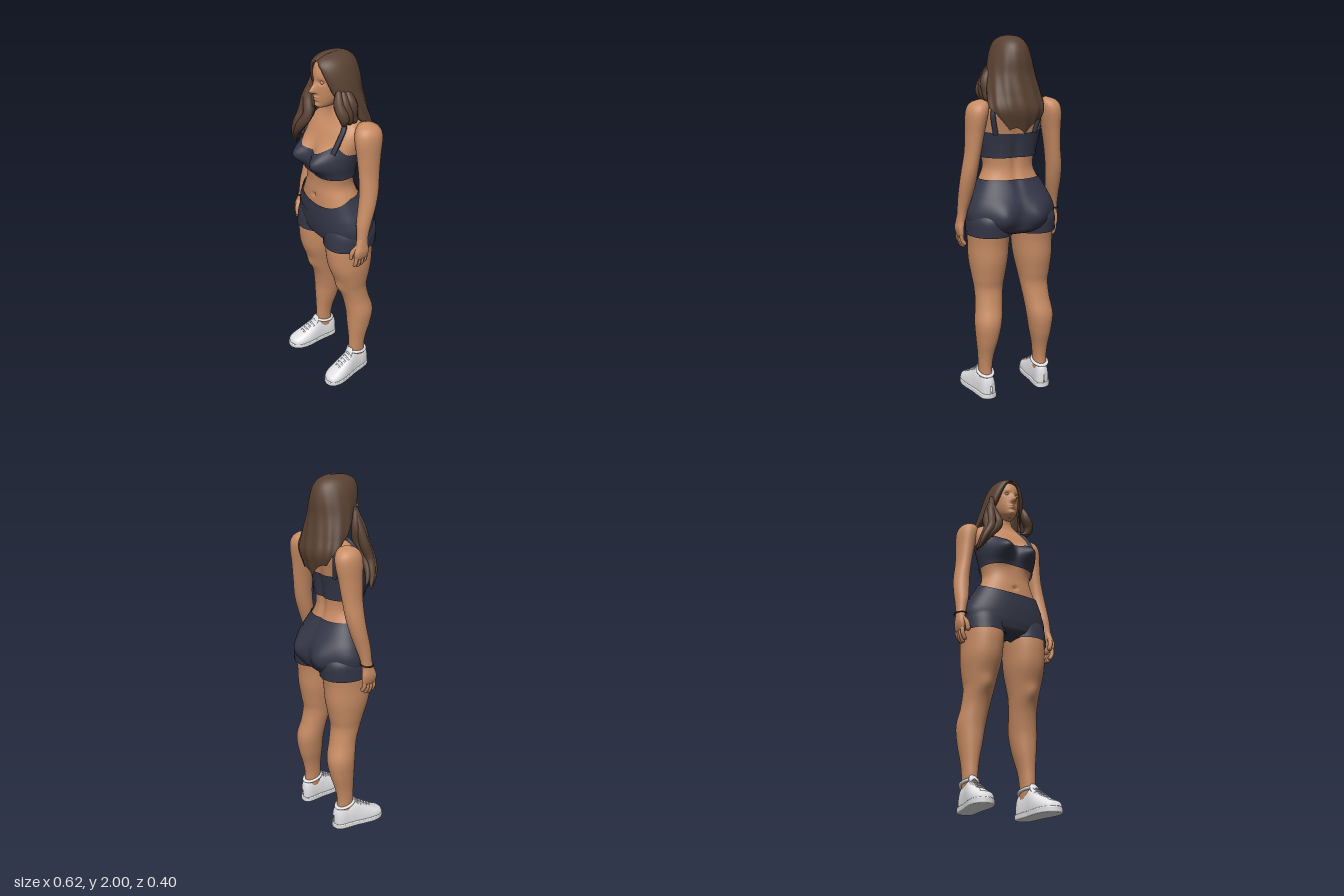
import * as THREE from 'three';
import { mergeVertices } from 'three/addons/utils/BufferGeometryUtils.js';

const mat = (name, color, side = THREE.FrontSide) => {
  const m = new THREE.MeshStandardMaterial({ color, side });
  m.name = name;
  return m;
};
const V = (x, y, z) => new THREE.Vector3(x, y, z);
const G = (d) => Math.exp(-d * d);
const pw = (v, e) => Math.sign(v) * Math.abs(v) ** e;

// Smooth interpolation of rows keyed by their first (ascending) value
function sampler(rows) {
  const slope = (i, k) => {
    const a = rows[Math.max(i - 1, 0)], b = rows[Math.min(i + 1, rows.length - 1)];
    return (b[k] - a[k]) / (b[0] - a[0]);
  };
  return (y) => {
    let i = 0;
    while (i < rows.length - 2 && y > rows[i + 1][0]) i++;
    const a = rows[i], b = rows[i + 1], h = b[0] - a[0];
    const t = Math.min(1, Math.max(0, (y - a[0]) / h)), t2 = t * t, t3 = t2 * t;
    return a.map((_, k) => (2 * t3 - 3 * t2 + 1) * a[k] + (t3 - 2 * t2 + t) * h * slope(i, k)
      + (3 * t2 - 2 * t3) * b[k] + (t3 - t2) * h * slope(i + 1, k));
  };
}
// Point on a horizontal section [y, cx, rx, zFront, zBack]; angle 0 faces the front
function ring([, cx, rx, zF, zB], y, a, off = 0, e = 1) {
  return V(cx + (rx + off) * pw(Math.sin(a), e), y,
    (zF + zB) / 2 + ((zF - zB) / 2 + off) * pw(Math.cos(a), e));
}
// Surface from f(u, v), welded for smooth normals
function patch(f, nu, nv) {
  const pos = [], idx = [], w = nu + 1;
  for (let j = 0; j <= nv; j++) for (let i = 0; i <= nu; i++) pos.push(...f(i / nu, j / nv).toArray());
  for (let j = 0; j < nv; j++) for (let i = 0; i < nu; i++) {
    const a = j * w + i;
    idx.push(a, a + 1, a + w + 1, a, a + w + 1, a + w);
  }
  let g = new THREE.BufferGeometry();
  g.setAttribute('position', new THREE.Float32BufferAttribute(pos, 3));
  g.setIndex(idx);
  g = mergeVertices(g, 1e-5);
  g.computeVertexNormals();
  return g;
}
// Closed band of a body surface S(angle, y, offset) between two height curves
const band = (S, lo, hi, off, nu, nv) => patch((u, v) => {
  const a = u * Math.PI * 2;
  return S(a, lo(a) + (hi(a) - lo(a)) * v, off);
}, nu, nv);
// Tube whose radius follows r(t)
function taper(points, r, n = 36, sides = 12) {
  const c = new THREE.CatmullRomCurve3(points), g = new THREE.TubeGeometry(c, n, 1, sides);
  const p = g.attributes.position, q = V(0, 0, 0);
  for (let i = 0; i < p.count; i++) {
    const t = Math.floor(i / (sides + 1)) / n, o = c.getPointAt(t);
    q.fromBufferAttribute(p, i).sub(o).multiplyScalar(r(t)).add(o);
    p.setXYZ(i, q.x, q.y, q.z);
  }
  g.computeVertexNormals();
  return g;
}

const torsoRow = sampler([
  [0.935, 0, 0.03, 0.03, -0.07], [0.96, 0, 0.16, 0.1, -0.14], [1.0, 0, 0.23, 0.12, -0.16],
  [1.06, 0, 0.25, 0.128, -0.165], [1.12, 0, 0.233, 0.13, -0.158], [1.18, 0, 0.2, 0.128, -0.13],
  [1.24, 0, 0.168, 0.125, -0.1], [1.3, 0, 0.143, 0.12, -0.085], [1.37, 0, 0.15, 0.12, -0.085],
  [1.45, 0, 0.169, 0.122, -0.092], [1.52, 0, 0.182, 0.11, -0.102], [1.6, 0, 0.188, 0.075, -0.115],
  [1.65, 0, 0.165, 0.04, -0.112], [1.68, 0, 0.11, 0.028, -0.095], [1.71, 0, 0.062, 0.025, -0.078],
  [1.8, 0, 0.052, 0.04, -0.06]]);
function torso(a, y, off) {
  const p = ring(torsoRow(y), y, a, off, 0.9), x = Math.abs(p.x);
  if (Math.cos(a) > 0) {
    p.z += 0.078 * G((x - 0.082) / 0.058) * G((y - 1.455) / 0.062);
    p.z -= 0.014 * G(x / 0.012) * G((y - 1.225) / 0.012);
  } else p.z -= 0.042 * G((x - 0.1) / 0.07) * G((y - 1.05) / 0.075) - 0.012 * G(x / 0.025) * G((y - 1.35) / 0.2);
  return p;
}
const headRow = sampler([
  [1.722, 0, 0.004, 0.075, 0.06], [1.728, 0, 0.024, 0.094, 0.01], [1.745, 0, 0.043, 0.101, -0.03],
  [1.78, 0, 0.06, 0.105, -0.06], [1.82, 0, 0.069, 0.108, -0.08], [1.87, 0, 0.074, 0.109, -0.1],
  [1.92, 0, 0.072, 0.106, -0.1], [1.96, 0, 0.055, 0.08, -0.08], [1.985, 0, 0.01, 0.01, -0.01]]);
function head(a, y) {
  const p = ring(headRow(y), y, a, 0, 0.95), x = Math.abs(p.x);
  if (Math.cos(a) > 0) {
    p.z += 0.038 * G(x / 0.013) * G((y - 1.818) / (y < 1.818 ? 0.01 : 0.03));
    p.z -= 0.012 * G((x - 0.032) / 0.016) * G((y - 1.868) / 0.012);
    p.z += 0.009 * G(x / 0.021) * (G((y - 1.786) / 0.006) + G((y - 1.772) / 0.006));
    p.z += 0.008 * G(x / 0.02) * G((y - 1.742) / 0.011);
  }
  return p;
}
const legRow = sampler([
  [0.1, 0.172, 0.036, -0.005, -0.1], [0.18, 0.172, 0.038, 0, -0.1], [0.25, 0.17, 0.044, 0, -0.112],
  [0.35, 0.165, 0.062, 0.004, -0.14], [0.45, 0.16, 0.075, 0.008, -0.152], [0.55, 0.147, 0.075, 0.025, -0.128],
  [0.64, 0.14, 0.08, 0.055, -0.115], [0.7, 0.139, 0.09, 0.075, -0.125], [0.8, 0.136, 0.105, 0.11, -0.143],
  [0.9, 0.132, 0.11, 0.122, -0.15], [0.97, 0.129, 0.115, 0.12, -0.16], [1.04, 0.125, 0.115, 0.11, -0.16],
  [1.1, 0.12, 0.08, 0.08, -0.12]]);
const armRow = sampler([
  [1.03, 0.279, 0.024, 0.042, -0.02], [1.08, 0.274, 0.028, 0.038, -0.03], [1.14, 0.266, 0.036, 0.034, -0.05],
  [1.22, 0.258, 0.043, 0.018, -0.078], [1.3, 0.25, 0.044, 0.006, -0.1], [1.4, 0.236, 0.043, 0.002, -0.115],
  [1.5, 0.225, 0.049, 0.006, -0.128], [1.6, 0.214, 0.058, 0.012, -0.142], [1.645, 0.205, 0.054, 0.0, -0.13],
  [1.668, 0.195, 0.035, -0.025, -0.1], [1.678, 0.19, 0.003, -0.06, -0.064]]);
const palmRow = sampler([
  [0.925, 0.281, 0.004, 0.03, 0.01], [0.935, 0.283, 0.014, 0.057, -0.018], [0.98, 0.288, 0.02, 0.064, -0.024],
  [1.02, 0.283, 0.022, 0.05, -0.02], [1.06, 0.277, 0.024, 0.038, -0.024]]);
const hairRow = sampler([
  [1.46, 0, 0.07, -0.09, -0.145], [1.55, 0, 0.125, -0.03, -0.172], [1.62, 0, 0.158, 0, -0.186],
  [1.7, 0, 0.152, 0.05, -0.17], [1.8, 0, 0.132, 0.095, -0.148], [1.88, 0, 0.114, 0.12, -0.142],
  [1.94, 0, 0.093, 0.12, -0.125], [1.975, 0, 0.068, 0.094, -0.095], [1.993, 0, 0.036, 0.05, -0.055],
  [2.0, 0, 0.001, 0.001, -0.001]]);
const hairGap = sampler([[1.45, 1.6], [1.62, 1.6], [1.68, 1.35], [1.75, 0.95], [1.8, 0.76],
  [1.85, 0.68], [1.9, 0.58], [1.94, 0.4], [1.965, 0.1], [1.975, 0], [2.0, 0]]);
function hair(u, v) {
  const k = Math.abs(2 * u - 1);
  const hem = 1.49 + 0.15 * k * k + 0.035 * Math.abs(Math.sin(u * 11));
  const y = 2 - (2 - hem) * (1 - v) ** 1.6, gap = Math.max(0, hairGap(y)[1]);
  const a = gap + u * (2 * Math.PI - 2 * gap);
  const r = hairRow(y), p = ring(r, y, a), cz = (r[3] + r[4]) / 2;
  // strand waves, inward-rolled front edges and centre parting
  const low = Math.min(1, Math.max(0, (1.95 - y) / 0.3));
  const s = 1 + low * 0.022 * Math.sin(a * 13 + y * 14) - 0.14 * (gap > 0.05 ? k ** 40 : 0);
  p.x *= s;
  p.z = cz + (p.z - cz) * s;
  p.y -= 0.005 * G(p.x / 0.006) * (p.z > -0.02 ? 1 : 0);
  return p;
}
// Shoe sections along z: [z, half width, height]
const shoeRow = sampler([[-0.126, 0.004, 0.06], [-0.118, 0.028, 0.1], [-0.09, 0.041, 0.118], [-0.04, 0.044, 0.122],
  [0.0, 0.047, 0.13], [0.04, 0.053, 0.106], [0.09, 0.058, 0.075], [0.14, 0.055, 0.05], [0.175, 0.036, 0.034], [0.187, 0.004, 0.01]]);
const shoeMid = (z) => 0.18 + 0.1 * z;

export function createModel() {
  const root = new THREE.Group();
  const skin = mat('skin', 0xc88c64), fabric = mat('navy fabric', 0x343647, THREE.DoubleSide);
  const brown = mat('brown hair', 0x594132, THREE.DoubleSide), white = mat('white shoe', 0xe2e2e4);
  const dark = mat('dark bracelet', 0x3a2a24);
  const add = (name, geo, m, parent = root) => {
    const mesh = new THREE.Mesh(geo, m);
    mesh.name = name;
    parent.add(mesh);
    return mesh;
  };
  const c = (v) => () => v;

  add('torso', band(torso, c(1.1), c(1.8), 0, 96, 80), skin);
  add('head', band(head, c(1.722), c(1.985), 0, 96, 70), skin);

  // Sports top
  const topEdge = (a) => {
    const f = Math.cos(a);
    return f > 0 ? 1.5 + 0.055 * G((Math.abs(Math.sin(a)) - 0.68) / 0.27) : 1.51 - 0.02 * f * f;
  };
  add('sportsTop', band(torso, c(1.365), topEdge, 0.007, 96, 28), fabric);
  add('topHem', band(torso, c(1.362), c(1.385), 0.01, 96, 3), fabric);

  // Shorts
  const waist = (a) => 1.245 - 0.06 * Math.max(0, Math.cos(a));
  add('shorts', band(torso, c(0.936), waist, 0.006, 96, 40), fabric);
  add('waistband', band(torso, (a) => waist(a) - 0.08, waist, 0.009, 96, 10), fabric);

  // Hair
  add('hair', patch(hair, 140, 60), brown);
  const swell = (r) => (t) => r * Math.sin(Math.PI * (0.06 + 0.93 * t)) ** 0.7;
  for (let i = 0; i < 5; i++) {
    const d = i * 0.016, z = 0.02 * Math.sin(i * 2.1);
    add('frontLock', taper([V(-0.1 - d / 4, 1.84, 0.045), V(-0.135 + d / 4, 1.74, 0.055 + z), V(-0.155 + d, 1.65, 0.075 + z),
      V(-0.165 + d * 0.6, 1.58, 0.1 + z), V(-0.195 + d / 3, 1.51, 0.095 + z), V(-0.222 + d / 2, 1.43 + d / 2, 0.07 + z)],
    swell(0.027)), brown);
  }
  for (let i = 0; i < 3; i++) {
    add('sideCurl', taper([V(0.1, 1.84, 0.04 - i * 0.02), V(0.122 + i * 0.008, 1.77, 0.05 - i * 0.03),
      V(0.148 - i * 0.006, 1.71, 0.04 - i * 0.03), V(0.135, 1.675, 0.03 - i * 0.03), V(0.1, 1.67, 0.02 - i * 0.03)],
    swell(0.03)), brown);
  }

  for (const s of [1, -1]) {
    const side = new THREE.Group();
    side.name = s > 0 ? 'leftSide' : 'rightSide';
    root.add(side);
    const limb = (row, e) => (a, y, off) => {
      const r = row(y);
      r[1] *= s;
      return ring(r, y, a, off, e);
    };
    add('eye', new THREE.SphereGeometry(0.012, 16, 12), skin, side).position.set(s * 0.031, 1.868, 0.085);

    // Arm and hand
    add('arm', band(limb(armRow), c(1.03), c(1.678), 0, 32, 50), skin, side);
    add('palm', band(limb(palmRow, 0.85), c(0.925), c(1.06), 0, 28, 16), skin, side);
    const round = (r) => (t) => r * Math.sqrt(Math.max(0.001, 1 - Math.max(0, (t - 0.8) / 0.2) ** 2));
    for (let i = 0; i < 4; i++) {
      const z = 0.049 - i * 0.02, len = [0.068, 0.078, 0.074, 0.058][i];
      add('finger', taper([V(s * 0.285, 0.955, z), V(s * 0.284, 0.95 - len * 0.5, z + 0.003), V(s * 0.264, 0.945 - len, z)],
        round(0.0115), 16, 10), skin, side);
    }
    add('thumb', taper([V(s * 0.28, 1.01, 0.04), V(s * 0.266, 0.975, 0.064), V(s * 0.257, 0.925, 0.066)],
      round(0.013), 16, 10), skin, side);

    // Leg with rounded kneecap
    const legS = limb(legRow, 0.95);
    const knee = (a, y, off) => {
      const p = legS(a, y, off);
      if (Math.cos(a) > 0) p.z += 0.012 * G((p.x - s * 0.14) / 0.035) * G((y - 0.655) / 0.04);
      return p;
    };
    add('leg', band(knee, c(0.1), c(1.04), 0, 44, 70), skin, side);
    add('shortsLeg', band(legS, c(0.95), c(1.1), 0.008, 64, 14), fabric, side);
    add('shortsHem', band(legS, c(0.948), c(0.964), 0.011, 64, 2), fabric, side);

    // Shoulder strap laid over the torso surface
    const strap = [[0.78, 1.52], [0.76, 1.58], [0.8, 1.64], [1.0, 1.678], [1.57, 1.69], [2.1, 1.675], [2.4, 1.6], [2.5, 1.49]];
    add('strap', taper(strap.map(([a, y]) => torso(s * a, y, 0.002)), c(0.014), 50, 10), fabric, side);

    // Shoe
    const shoe = new THREE.Group();
    shoe.name = 'shoe';
    side.add(shoe);
    add('shoeUpper', patch((u, v) => {
      const z = -0.126 + 0.313 * v, [, hw, h] = shoeRow(z), t = Math.PI * u;
      return V(s * shoeMid(z) + hw * pw(Math.cos(t), 0.75), 0.022 + h * Math.max(0, Math.sin(t)) ** 0.8, z);
    }, 32, 50), white, shoe);
    const half = [[-0.122, 0.012], [-0.105, 0.036], [-0.06, 0.043], [0, 0.046], [0.06, 0.054], [0.11, 0.057], [0.155, 0.046], [0.183, 0.018]];
    const edge = (k) => half.map(([z, w]) => new THREE.Vector2(s * shoeMid(z) + k * w, z));
    const outline = new THREE.SplineCurve([...edge(1), ...edge(-1).reverse(), edge(1)[0]]);
    const sole = new THREE.ExtrudeGeometry(new THREE.Shape(outline.getPoints(64)),
      { depth: 0.02, bevelThickness: 0.005, bevelSize: 0.006, bevelSegments: 3 });
    sole.rotateX(Math.PI / 2).translate(0, 0.025, 0);
    add('sole', sole, white, shoe);
    const collar = add('collar', new THREE.TorusGeometry(0.042, 0.009, 10, 32), white, shoe);
    collar.rotation.x = Math.PI / 2 - 0.22;
    collar.scale.y = 1.3;
    collar.position.set(s * 0.173, 0.143, -0.052);
    const tongue = add('tongue', new THREE.SphereGeometry(1, 20, 14), white, shoe);
    tongue.scale.set(0.029, 0.042, 0.01);
    tongue.rotation.x = -0.5;
    tongue.position.set(s * 0.179, 0.142, 0.012);
    for (let i = 0; i < 5; i++) {
      const z = 0.015 + i * 0.02, y = 0.024 + shoeRow(z)[2], x = s * shoeMid(z);
      add('lace', taper([V(x - 0.03, y - 0.016, z), V(x, y + 0.001, z + 0.006), V(x + 0.03, y - 0.016, z)],
        c(0.005), 12, 8), white, shoe);
    }
  }

  // Bracelet on the right wrist
  const bracelet = add('bracelet', new THREE.TorusGeometry(0.033, 0.004, 8, 32), dark);
  bracelet.rotation.set(Math.PI / 2, 0.15, 0);
  bracelet.position.set(-0.279, 1.045, 0.01);
  return root;
}
